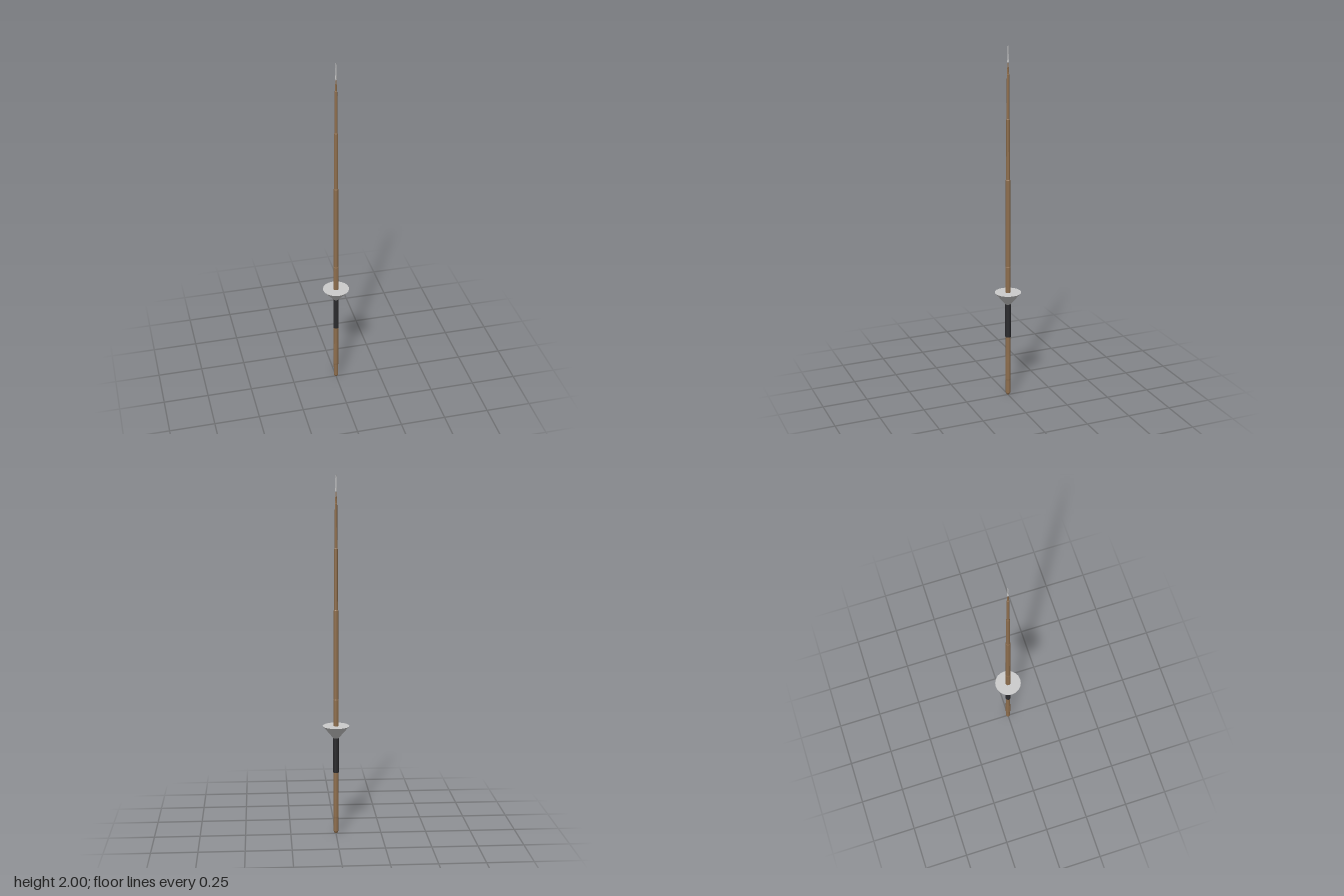
import * as THREE from 'three';

const WOOD = 0x8f6f4e, LEATHER = 0x2b2b2e, STEEL = 0xcccccc;

// Turned part from [radius, height] pairs, listed from bottom to top
function turned(name, color, profile, sides = 12) {
  const points = profile.map(([r, y]) => new THREE.Vector2(r, y));
  const material = new THREE.MeshStandardMaterial({ color, flatShading: true });
  const mesh = new THREE.Mesh(new THREE.LatheGeometry(points, sides), material);
  mesh.name = name;
  return mesh;
}

export function createModel() {
  const lance = new THREE.Group();
  lance.name = 'lance';

  // Wooden butt with a rounded end and a slight swell
  lance.add(turned('butt', WOOD, [
    [0, 0], [0.007, 0.003], [0.013, 0.015], [0.0135, 0.09],
    [0.0145, 0.1], [0.0145, 0.2], [0.0135, 0.25], [0.0135, 0.36],
  ]));

  // Wrapped hand grip
  lance.add(turned('grip', LEATHER, [[0, 0.35], [0.0155, 0.352], [0.0155, 0.55], [0, 0.55]]));

  // Flared conical hand guard
  lance.add(turned('guard', STEEL, [[0, 0.545], [0.014, 0.545], [0.073, 0.615], [0, 0.615]], 20));

  // Long shaft, thinning in stages
  lance.add(turned('shaft', WOOD, [
    [0.0145, 0.6], [0.0145, 0.76], [0.013, 0.765], [0.0125, 1.25],
    [0.0105, 1.255], [0.0095, 1.58], [0.0075, 1.585], [0.0065, 1.82], [0, 1.825],
  ]));

  // Slender socket and spike
  lance.add(turned('socket', WOOD, [[0.0055, 1.815], [0.003, 1.88], [0, 1.885]]));
  lance.add(turned('spike', STEEL, [[0, 1.87], [0.0045, 1.885], [0.003, 1.93], [0, 2]], 8));

  return lance;
}
